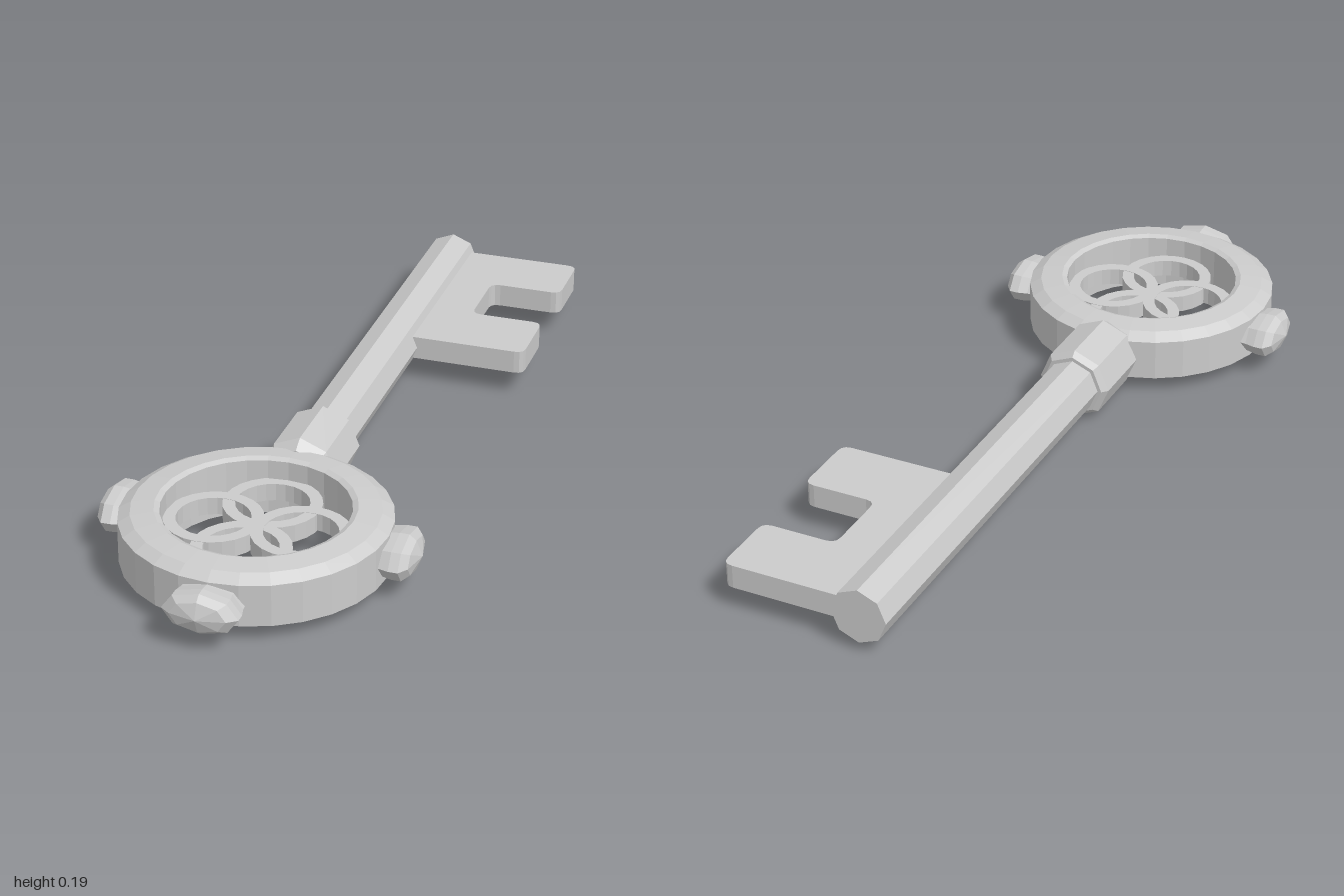
import * as THREE from 'three';

const MID = 0.097;      // height of the key's middle plane
const RING_Z = 0.6;     // centre of the bow

const material = new THREE.MeshStandardMaterial({ color: 0xcccccc, flatShading: true });

function add(parent, name, geometry, x = 0, y = 0, z = 0) {
  const mesh = new THREE.Mesh(geometry, material);
  mesh.name = name;
  mesh.position.set(x, y, z);
  parent.add(mesh);
  return mesh;
}

// Lathe from [radius, height] pairs, listed from bottom to top on the outside
function lathe(points, sides) {
  return new THREE.LatheGeometry(points.map(([r, h]) => new THREE.Vector2(r, h)), sides);
}

// Flat plate outline with every corner rounded by radius r
function roundedOutline(corners, r) {
  const pts = corners.map(([x, y]) => new THREE.Vector2(x, y));
  const shape = new THREE.Shape();
  pts.forEach((p, i) => {
    const before = pts[(i + pts.length - 1) % pts.length];
    const after = pts[(i + 1) % pts.length];
    const a = p.clone().add(before.clone().sub(p).setLength(r));
    const b = p.clone().add(after.clone().sub(p).setLength(r));
    if (i === 0) shape.moveTo(a.x, a.y);
    else shape.lineTo(a.x, a.y);
    shape.quadraticCurveTo(p.x, p.y, b.x, b.y);
  });
  shape.closePath();
  return shape;
}

export function createModel() {
  const key = new THREE.Group();
  key.name = 'key';

  // Bow: heavy ring with chamfered rims
  const ring = lathe([
    [0.222, -0.07], [0.235, -0.076], [0.29, -0.069], [0.319, -0.052],
    [0.319, 0.052], [0.29, 0.069], [0.235, 0.076], [0.222, 0.07], [0.222, -0.07],
  ], 28);
  add(key, 'bowRing', ring, 0, MID, RING_Z);

  // Tracery: four overlapping hoops inside the bow
  const tracery = new THREE.Group();
  tracery.name = 'tracery';
  const hoop = lathe([
    [0.088, -0.022], [0.118, -0.022], [0.118, 0.022], [0.088, 0.022], [0.088, -0.022],
  ], 24);
  for (let i = 0; i < 4; i++) {
    const a = i * Math.PI / 2;
    // tiny height steps keep the crossing faces apart
    add(tracery, 'traceryHoop', hoop, Math.sin(a) * 0.107, (i % 2) * 0.001, Math.cos(a) * 0.107);
  }
  tracery.position.set(0, MID, RING_Z - 0.004);
  key.add(tracery);

  // Gems: faceted oval studs on the left, right and front of the bow
  const gem = lathe([
    [0, 0], [0.9, 0], [0.93, 0.035], [1, 0.06], [1, 0.083], [0.74, 0.1], [0, 0.115],
  ], 8);
  gem.scale(0.091, 1, 0.051);
  gem.rotateX(Math.PI / 2);
  add(key, 'frontGem', gem, 0, MID, 0.885);
  for (const side of [1, -1]) {
    const mesh = add(key, side > 0 ? 'leftGem' : 'rightGem', gem, side * 0.277, MID, 0.577);
    mesh.rotation.y = side * Math.PI / 2;
  }

  // Collar: octagonal sleeve between shaft and bow
  const collar = lathe([
    [0, 0.11], [0.08, 0.11], [0.0935, 0.124], [0.0935, 0.295], [0.074, 0.325], [0, 0.325],
  ], 8);
  collar.rotateX(Math.PI / 2);
  add(key, 'collar', collar, 0, MID, 0);

  // Shaft: long octagonal bar
  const shaft = new THREE.CylinderGeometry(0.07, 0.07, 1.2, 8);
  shaft.rotateX(Math.PI / 2);
  add(key, 'shaft', shaft, 0, MID, -0.4);

  // Bit: notched plate with two teeth
  const outline = roundedOutline([
    [0.03, 0.43], [0.355, 0.43], [0.355, 0.615], [0.165, 0.615],
    [0.165, 0.805], [0.355, 0.805], [0.355, 0.985], [0.03, 0.985],
  ], 0.025);
  const bit = new THREE.ExtrudeGeometry(outline, { depth: 0.06, bevelEnabled: false, curveSegments: 3 });
  bit.rotateX(-Math.PI / 2);
  add(key, 'bit', bit, 0, MID - 0.03, 0);

  return key;
}
